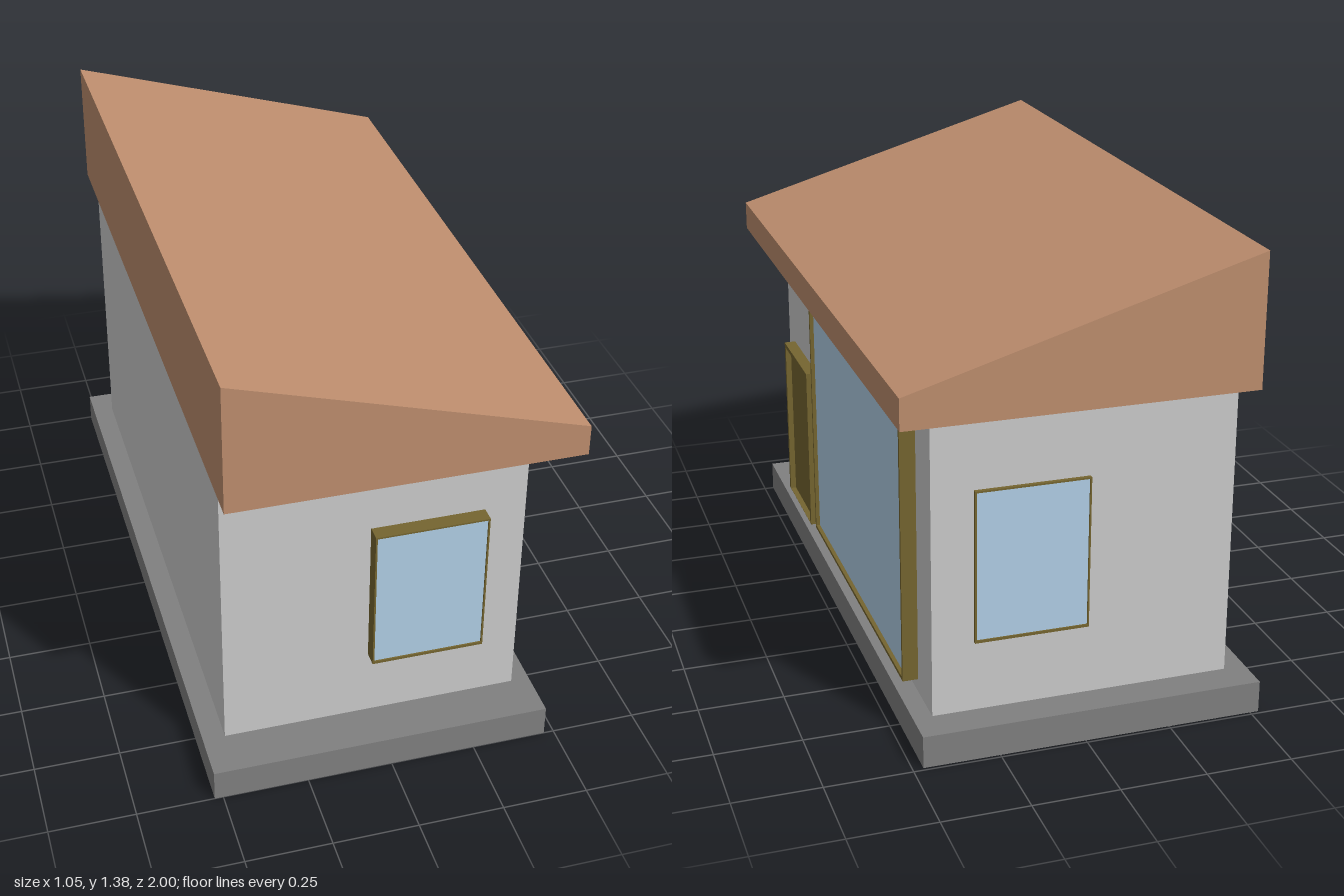
import * as THREE from 'three';

const paint = (color) => new THREE.MeshStandardMaterial({ color, flatShading: true });

export function createModel() {
  const house = new THREE.Group();
  house.name = 'house';
  const wallMat = paint(0xcccccc), baseMat = paint(0x808080), roofMat = paint(0xbe8e6e);
  const frameMat = paint(0x756530), glassMat = paint(0xb1cfe7);

  // Box given by its minimum and maximum corners
  function box(name, mat, [x0, y0, z0], [x1, y1, z1], parent = house) {
    const mesh = new THREE.Mesh(new THREE.BoxGeometry(x1 - x0, y1 - y0, z1 - z0), mat);
    mesh.position.set((x0 + x1) / 2, (y0 + y1) / 2, (z0 + z1) / 2);
    mesh.name = name;
    parent.add(mesh);
  }

  // Framed opening facing local +z: centred on x, standing on y = 0
  function opening(name, w, h, depth, rim, sill, recess, panelName, panelMat) {
    const group = new THREE.Group();
    group.name = name;
    const a = w / 2, b = a - rim;
    const shape = new THREE.Shape([[-a, 0], [a, 0], [a, h], [-a, h]].map((p) => new THREE.Vector2(...p)));
    shape.holes.push(new THREE.Path(
      [[-b, sill], [-b, h - rim], [b, h - rim], [b, sill]].map((p) => new THREE.Vector2(...p))));
    const frame = new THREE.Mesh(
      new THREE.ExtrudeGeometry(shape, { depth, bevelEnabled: false }), frameMat);
    frame.name = name + 'Frame';
    group.add(frame);
    box(panelName, panelMat, [-b, sill, 0], [b, h - rim, depth - recess], group);
    house.add(group);
    return group;
  }

  // Plinth and walls
  box('foundation', baseMat, [-0.525, 0, -0.99], [0.47, 0.095, 1]);
  box('walls', wallMat, [-0.46, 0.095, -0.89], [0.415, 0.99, 0.86]);

  // Wedge-shaped roof sloping down towards +x
  const profile = new THREE.Shape(
    [[-0.475, 0.99], [0.525, 0.99], [0.525, 1.08], [-0.475, 1.375]].map((p) => new THREE.Vector2(...p)));
  const roof = new THREE.Mesh(
    new THREE.ExtrudeGeometry(profile, { depth: 1.995, bevelEnabled: false }), roofMat);
  roof.position.z = -1;
  roof.name = 'roof';
  house.add(roof);

  // Windows on the two end walls
  const front = opening('frontWindow', 0.33, 0.45, 0.045, 0.005, 0.008, 0.005, 'frontGlass', glassMat);
  front.position.set(0.13, 0.305, 0.86);
  const back = opening('backWindow', 0.33, 0.45, 0.012, 0.005, 0.008, 0.004, 'backGlass', glassMat);
  back.position.set(0.13, 0.305, -0.89);
  back.rotation.y = Math.PI;

  // Large window and door on the long +x wall
  const large = opening('largeWindow', 1.08, 0.795, 0.045, 0.01, 0.01, 0.012, 'largeGlass', glassMat);
  large.position.set(0.415, 0.135, -0.21);
  large.rotation.y = Math.PI / 2;
  const door = opening('door', 0.335, 0.54, 0.037, 0.015, 0.001, 0.018, 'doorPanel', frameMat);
  door.position.set(0.415, 0.095, 0.607);
  door.rotation.y = Math.PI / 2;

  return house;
}
